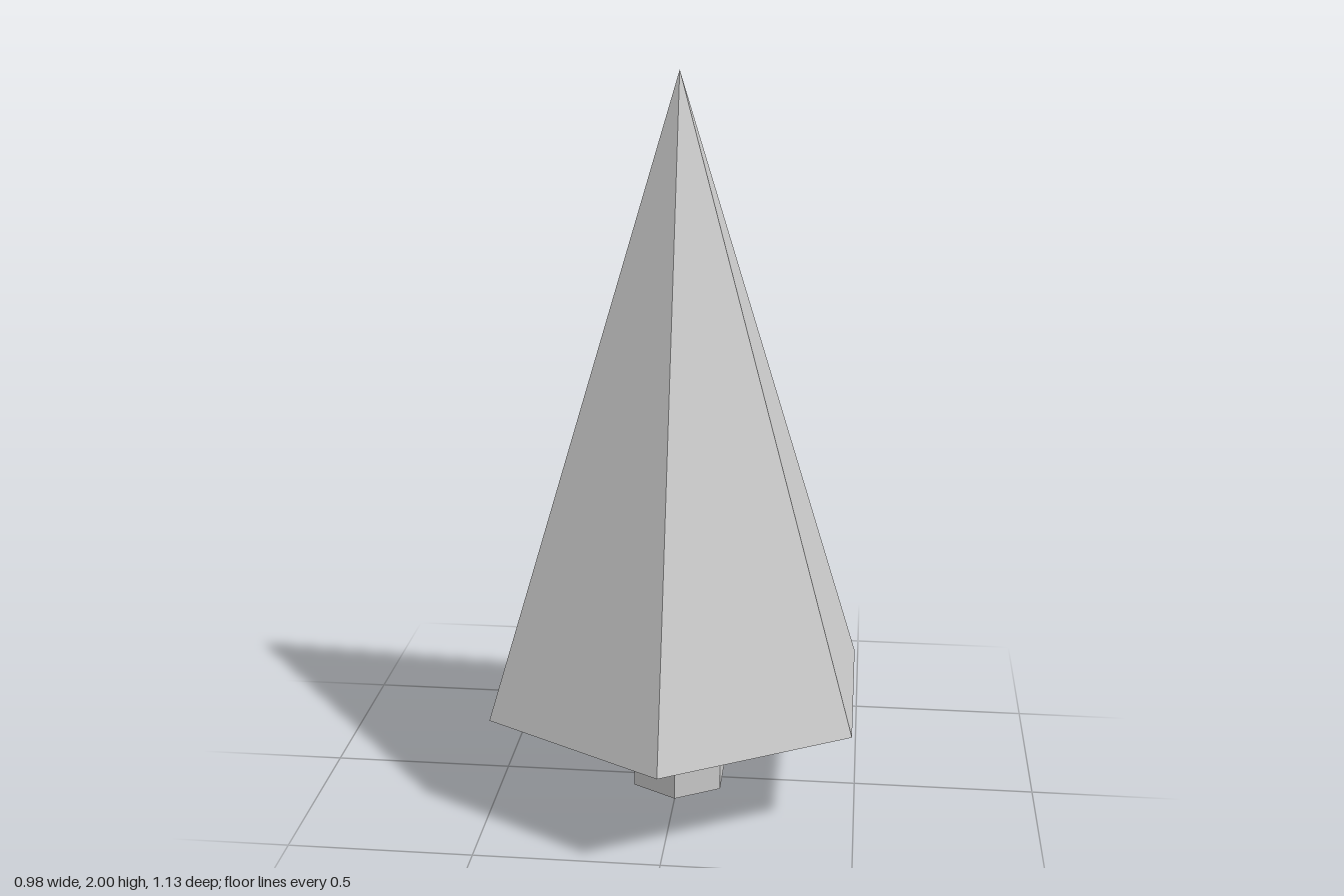
import * as THREE from 'three';

const SIDES = 6;
const TRUNK_HEIGHT = 0.286;
const TOTAL_HEIGHT = 2;

export function createModel() {
  const tree = new THREE.Group();
  tree.name = 'tree';
  const material = new THREE.MeshStandardMaterial({ color: 0xcccccc, flatShading: true });

  const addPart = (name, geometry, y) => {
    const mesh = new THREE.Mesh(geometry, material);
    mesh.name = name;
    mesh.position.y = y;
    tree.add(mesh);
  };

  // Hexagonal trunk, corners facing front and back
  addPart('trunk', new THREE.CylinderGeometry(0.141, 0.141, TRUNK_HEIGHT, SIDES), TRUNK_HEIGHT / 2);

  // Tall hexagonal cone of foliage with a closed underside
  const foliageHeight = TOTAL_HEIGHT - TRUNK_HEIGHT;
  addPart('foliage', new THREE.ConeGeometry(0.565, foliageHeight, SIDES), TRUNK_HEIGHT + foliageHeight / 2);

  return tree;
}
